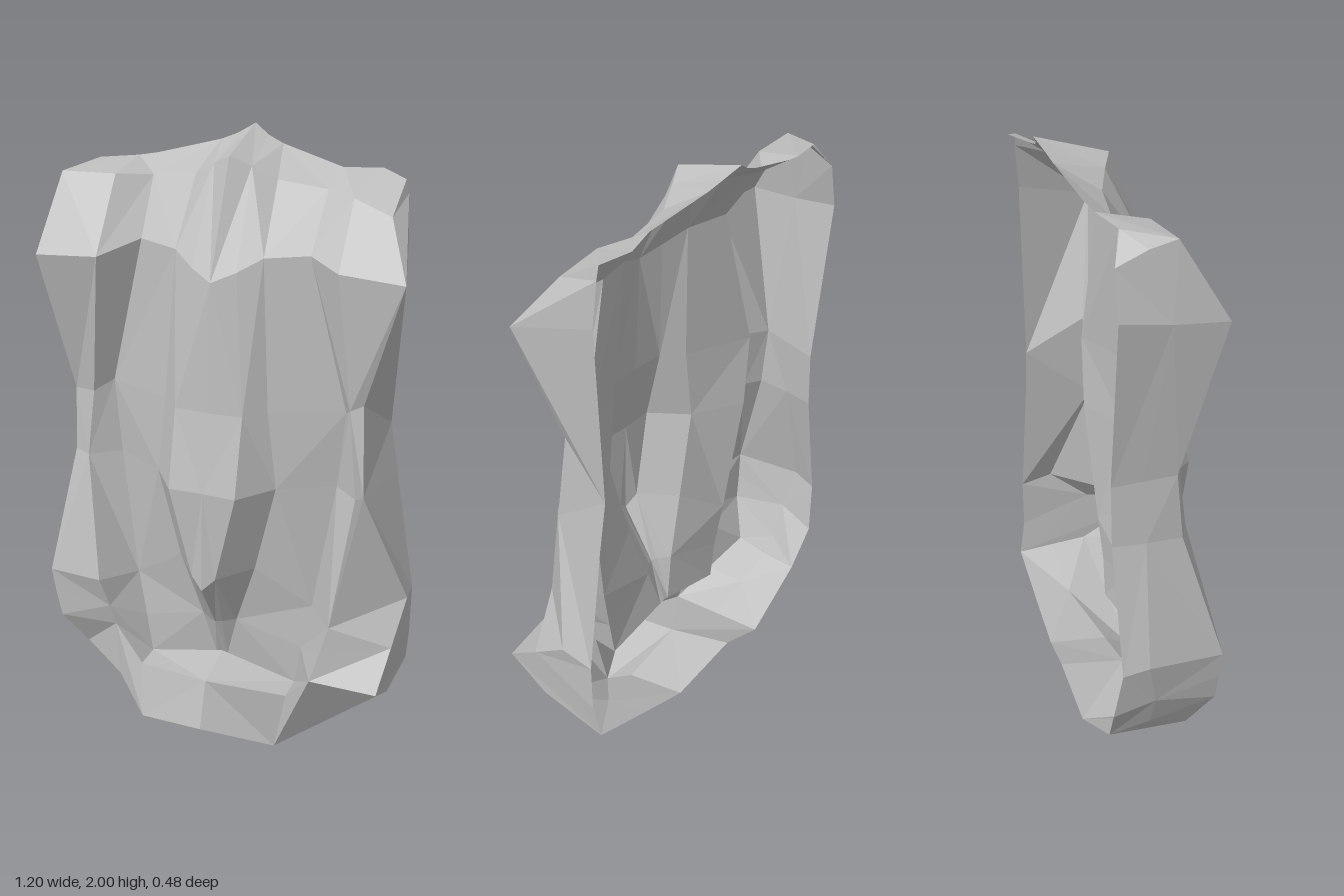
import * as THREE from 'three';

const grey = new THREE.MeshStandardMaterial({ color: 0xbdbdbd, side: THREE.DoubleSide, flatShading: true });
grey.name = 'plain grey';

// Faceted skin stretched between neighbouring polylines of equal length
function skin(name, paths) {
  const pos = [];
  for (let i = 0; i + 1 < paths.length; i++) {
    const a = paths[i], b = paths[i + 1];
    for (let j = 0; j + 1 < a.length; j++) {
      const quad = (i + j) % 2
        ? [a[j], a[j + 1], b[j + 1], a[j], b[j + 1], b[j]]
        : [a[j], a[j + 1], b[j], b[j], a[j + 1], b[j + 1]];
      for (const p of quad) pos.push(...p);
    }
  }
  const geo = new THREE.BufferGeometry();
  geo.setAttribute('position', new THREE.Float32BufferAttribute(pos, 3));
  geo.computeVertexNormals();
  const mesh = new THREE.Mesh(geo, grey);
  mesh.name = name;
  return mesh;
}

const mirror = (path) => path.map(([x, y, z]) => [-x, y, z]);

// Lengthwise lines, each from the top rear edge down to the bottom
const centre = [[0, 2, -0.24], [0, 1.94, -0.02], [0, 1.6, 0.13], [0, 1.2, 0.155], [0, 0.95, 0.205], [0, 0.61, 0.215], [0, 0.43, 0.1], [0, 0.28, 0.04]];
const keel = [[0.05, 1.97, -0.22], [0.06, 1.91, -0.05], [0.07, 1.63, 0.1], [0.11, 1.2, 0.15], [0.11, 0.95, 0.21], [0.04, 0.65, 0.2], [0.02, 0.43, 0.09], [0.02, 0.275, 0.04]];
const panel = [[0.1, 1.95, -0.21], [0.13, 1.87, -0.08], [0.14, 1.67, 0.06], [0.17, 1.2, 0.09], [0.2, 0.95, 0.09], [0.13, 0.65, 0.08], [0.06, 0.43, 0.06], [0.05, 0.268, 0.04]];
const groove = [[0.3, 1.9, -0.18], [0.28, 1.85, -0.1], [0.27, 1.68, 0.02], [0.39, 1.2, 0], [0.37, 0.95, 0], [0.31, 0.52, 0.03], [0.28, 0.36, 0.04], [0.26, 0.22, 0.04]];

// The two side rolls differ slightly
const leftRear = [[0.49, 1.88, -0.18], [0.5, 1.84, -0.18], [0.51, 1.7, -0.17], [0.49, 1.12, -0.17], [0.52, 0.95, -0.17], [0.59, 0.54, -0.18], [0.59, 0.37, -0.18], [0.58, 0.25, -0.2]];
const leftCorner = [[0.49, 1.88, -0.18], [0.49, 1.8, -0.04], [0.57, 1.64, 0.08], [0.45, 1.24, 0.02], [0.47, 0.95, 0.05], [0.6, 0.56, -0.07], [0.59, 0.45, 0.07], [0.58, 0.35, 0.2]];
const leftRidge = [[0.41, 1.9, -0.22], [0.37, 1.84, -0.06], [0.37, 1.65, 0.07], [0.41, 1.22, 0.03], [0.45, 0.95, 0.07], [0.41, 0.54, 0.17], [0.39, 0.45, 0.2], [0.37, 0.37, 0.23]];
const rightRear = [[-0.47, 1.88, -0.14], [-0.54, 1.8, -0.17], [-0.57, 1.66, -0.17], [-0.5, 1.14, -0.17], [-0.51, 0.95, -0.17], [-0.59, 0.54, -0.16], [-0.56, 0.37, -0.18], [-0.48, 0.23, -0.17]];
const rightWall = [[-0.48, 1.88, -0.14], [-0.54, 1.84, -0.08], [-0.57, 1.64, -0.02], [-0.51, 1.15, -0.08], [-0.52, 0.95, -0.07], [-0.6, 0.56, -0.08], [-0.57, 0.41, -0.05], [-0.52, 0.29, -0.05]];
const rightCorner = [[-0.48, 1.88, -0.14], [-0.54, 1.86, 0], [-0.57, 1.63, 0.14], [-0.52, 1.16, 0.02], [-0.52, 0.95, 0.04], [-0.575, 0.54, 0.16], [-0.565, 0.45, 0.155], [-0.55, 0.36, 0.15]];
const rightRidge = [[-0.36, 1.89, -0.17], [-0.37, 1.86, -0.02], [-0.37, 1.64, 0.13], [-0.44, 1.17, 0.05], [-0.46, 0.95, 0.07], [-0.39, 0.54, 0.17], [-0.37, 0.43, 0.14], [-0.36, 0.35, 0.12]];

// Bottom lip, as lines running across from right to left
const lipTop = [rightCorner[7], rightRidge[7], [-0.26, 0.22, 0.13], [0, 0.25, 0.19], [0.26, 0.22, 0.13], leftRidge[7], leftCorner[7]];
const lipFront = [[-0.49, 0.23, 0.08], [-0.35, 0.15, 0.12], [-0.24, 0.04, 0.18], [0, 0.09, 0.24], [0.22, 0, 0.12], [0.42, 0.15, 0.08], [0.58, 0.27, 0.05]];
const lipMid = [[-0.48, 0.23, -0.05], [-0.36, 0.16, -0.03], [-0.24, 0.07, 0], [-0.02, 0.13, 0.02], [0.2, 0.07, 0.02], [0.4, 0.16, -0.06], [0.58, 0.26, -0.08]];
const lipRear = [rightRear[7], [-0.36, 0.165, -0.18], [-0.24, 0.1, -0.19], [-0.05, 0.19, -0.21], [0.18, 0.11, -0.19], [0.37, 0.175, -0.195], leftRear[7]];

export function createModel() {
  const group = new THREE.Group();
  group.name = 'facetedShell';

  group.add(
    skin('centrePanel', [groove, panel, keel, centre, mirror(keel), mirror(panel), mirror(groove)]),
    skin('leftSideRoll', [leftRear, leftCorner, leftRidge, groove]),
    skin('rightSideRoll', [rightRear, rightWall, rightCorner, rightRidge, mirror(groove)]),
    skin('bottomLip', [lipTop, lipFront, lipMid, lipRear]),
    // Narrow floor between the panel's foot and the lip
    skin('lipLedge', [
      [rightRidge[7], mirror(groove)[7], centre[7], groove[7], leftRidge[7]],
      lipTop.slice(1, 6),
    ]),
    // Closing corners between the lip ends and the side walls
    skin('rightLipEnd', [[lipTop[0], lipFront[0], lipMid[0]], [rightWall[7], rightWall[7], rightRear[7]]]),
    skin('leftLipEnd', [[lipTop[6], lipFront[6], lipMid[6]], [leftRear[7], leftRear[7], leftRear[7]]]),
  );
  return group;
}
